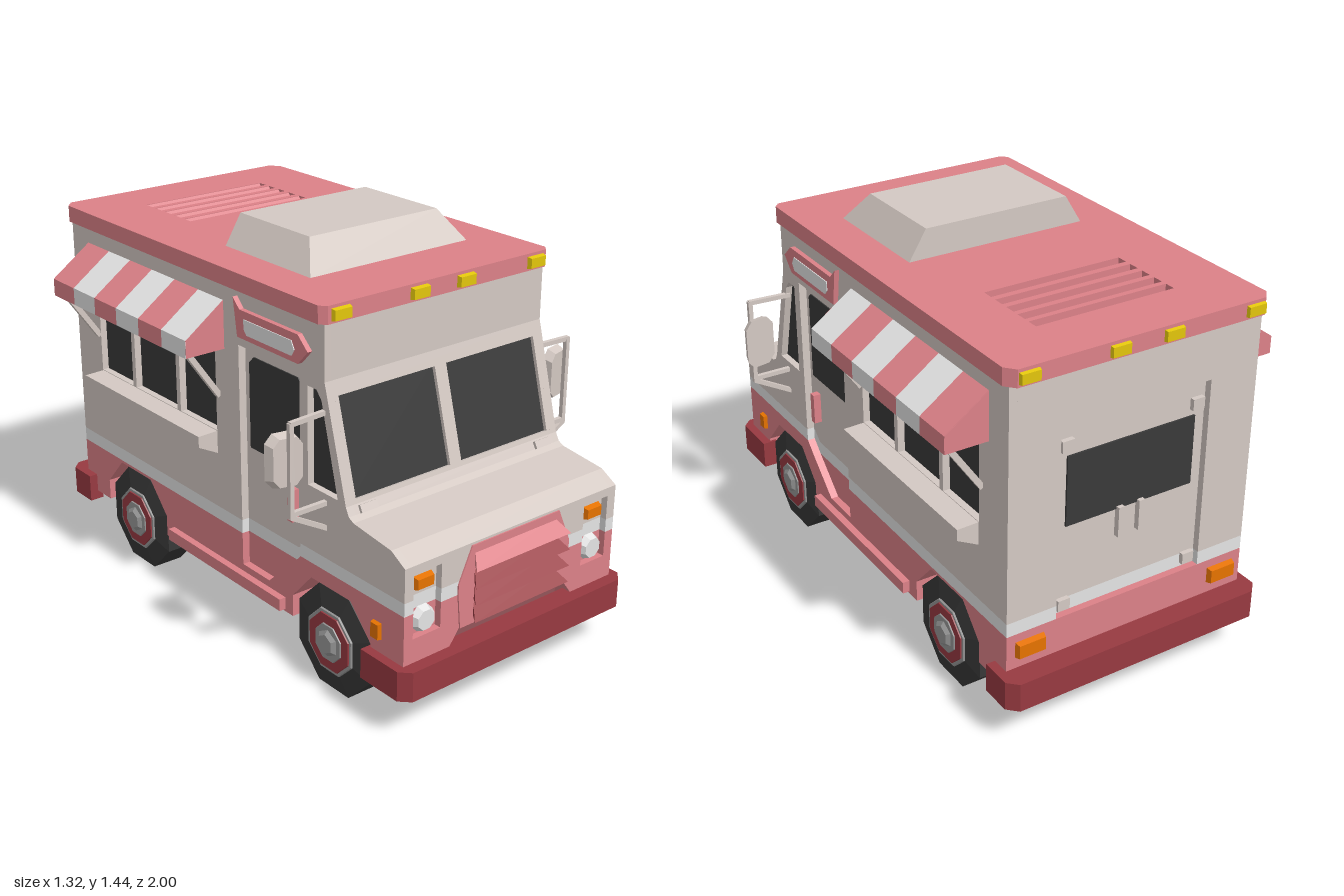
import * as THREE from 'three';

const mat = (name, color) => {
  const m = new THREE.MeshStandardMaterial({ color });
  m.name = name;
  return m;
};

export function createModel() {
  const cream = mat('cream', 0xd4c9c3), pink = mat('pink', 0xdc8188), pale = mat('pale grey', 0xe4e4e4);
  const maroon = mat('maroon', 0x983a41), glass = mat('glass', 0x3a3a3a), rubber = mat('rubber', 0x383838);
  const yellow = mat('yellow', 0xe3c60c), orange = mat('orange', 0xe67300), grey = mat('metal grey', 0x979797);

  const truck = new THREE.Group();
  truck.name = 'foodTruck';
  const add = (name, geo, material) => {
    const mesh = new THREE.Mesh(geo, material);
    mesh.name = name;
    truck.add(mesh);
    return mesh;
  };
  const box = (name, m, w, h, d, x, y, z) => {
    const mesh = add(name, new THREE.BoxGeometry(w, h, d), m);
    mesh.position.set(x, y, z);
    return mesh;
  };
  const vecs = pts => pts.map(p => new THREE.Vector2(p[0], p[1]));
  const extrude = (pts, depth, holes = []) => {
    const shape = new THREE.Shape(vecs(pts));
    shape.holes = holes.map(h => new THREE.Path(vecs(h)));
    return new THREE.ExtrudeGeometry(shape, { depth, bevelEnabled: false });
  };
  // Outline in (z, y), extruded across x from xa to xb
  const sideGeo = (pts, xa, xb, holes) =>
    extrude(pts, Math.abs(xb - xa), holes).rotateY(-Math.PI / 2).translate(Math.max(xa, xb), 0, 0);
  // Outline in (x, y), extruded along z from z0 to z1
  const frontGeo = (pts, z0, z1, holes) => extrude(pts, z1 - z0, holes).translate(0, 0, z0);
  // Outline in (x, z), extruded up from y0 to y1
  const planGeo = (pts, y0, y1, holes) => extrude(pts, y1 - y0, holes).rotateX(Math.PI / 2).translate(0, y1, 0);
  const rect = (a, b, c, d) => [[a, c], [b, c], [b, d], [a, d]];
  const flat = geo => {
    const g = geo.index ? geo.toNonIndexed() : geo;
    g.computeVertexNormals();
    return g;
  };
  // Move each vertex by a rule
  const reshape = (geo, rule) => {
    const p = geo.attributes.position, v = new THREE.Vector3();
    for (let i = 0; i < p.count; i++) {
      rule(v.fromBufferAttribute(p, i));
      p.setXYZ(i, v.x, v.y, v.z);
    }
    return flat(geo);
  };
  const bar = (name, m, a, b, t = 0.016) => {
    const A = new THREE.Vector3(...a), B = new THREE.Vector3(...b);
    const mesh = add(name, new THREE.BoxGeometry(t, t, A.distanceTo(B) + t * 0.5), m);
    mesh.position.copy(A).add(B).multiplyScalar(0.5);
    mesh.lookAt(B);
  };
  // Lamp block with a narrower face, turned to the given direction
  const light = (name, m, w, h, d, x, y, z, turn = 0) => {
    const g = reshape(new THREE.BoxGeometry(w, h, d), v => {
      if (v.z > 0) { v.x *= 1 - 0.012 / w; v.y *= 1 - 0.012 / h; }
    });
    add(name, g.rotateY(turn), m).position.set(x, y, z);
  };

  // Body core in three colour bands; the skins around it leave recessed openings
  const W = 0.472, C = W - 0.028, R = -0.895, F = 0.93;
  const arches = [[-0.92, 0.19], [-0.76, 0.19], [-0.76, 0.27], [-0.66, 0.38], [-0.46, 0.38], [-0.36, 0.27],
    [-0.36, 0.19], [0.4, 0.19], [0.4, 0.27], [0.5, 0.38], [0.7, 0.38], [0.8, 0.27], [0.8, 0.19]];
  const nose = [[0.955, 0.6], [0.89, 0.638], [0.712, 0.66], [0.69, 0.672], [0.675, 0.7]];
  add('lowerBody', sideGeo([...arches, [0.84, 0.19], [F, 0.313], [F, 0.435], [0.445, 0.435], [0.4, 0.39],
    [-0.92, 0.39]], -C, C), pink);
  add('bodyStripe', sideGeo([[F, 0.435], [F, 0.482], [0.445, 0.482], [0.4, 0.44], [R, 0.44], [R, 0.39],
    [0.4, 0.39], [0.445, 0.435]], -C, C), pale);
  add('upperBody', sideGeo([[F, 0.482], [F, 0.6], ...nose, [0.655, 0.7], [0.55, 1.085], [0.57, 1.085], [0.57, 1.28],
    [R, 1.28], [R, 0.44], [0.4, 0.44], [0.445, 0.482]], -C, C), cream);

  // Nose skin, notched round the lamp recesses
  add('noseUpper', frontGeo([[-C, 0.482], [-0.435, 0.482], [-0.435, 0.57], [-0.32, 0.57], [-0.32, 0.482],
    [0.32, 0.482], [0.32, 0.57], [0.435, 0.57], [0.435, 0.482], [C, 0.482], [C, 0.6], [-C, 0.6]], F, 0.955), cream);
  add('noseStripe', frontGeo(rect(-0.32, 0.32, 0.435, 0.482), F, 0.955), pale);
  add('noseLower', frontGeo([[-C, 0.313], [C, 0.313], [C, 0.435], [0.435, 0.435], [0.435, 0.345], [0.32, 0.345],
    [0.32, 0.435], [-0.32, 0.435], [-0.32, 0.345], [-0.435, 0.345], [-0.435, 0.435], [-C, 0.435]], F, 0.955), pink);

  // Windscreen frame set on the slope
  const frame = add('windscreenFrame', frontGeo(rect(-C, C, -0.2, 0.2), -0.02, 0,
    [rect(-0.428, -0.025, -0.184, 0.148), rect(0.025, 0.428, -0.184, 0.148)]), cream);
  frame.position.set(0, 0.8925, 0.6225);
  frame.rotation.x = -0.266;

  // Roof with chamfered corners and slotted vents holding sloping slats
  const slots = [-0.74, -0.68, -0.618, -0.555, -0.492];
  add('roof', planGeo([[-0.49, -0.91], [-0.46, -0.945], [0.46, -0.945], [0.49, -0.91], [0.49, 0.56], [0.47, 0.583],
    [-0.47, 0.583], [-0.49, 0.56]], 1.275, 1.335, slots.map(z => rect(-0.26, 0.26, z, z + 0.04))), pink);
  for (const z of slots) add('roofSlat', sideGeo([[z, 1.285], [z + 0.04, 1.285], [z, 1.333]], -0.26, 0.26), pink);
  add('roofHatch', reshape(new THREE.BoxGeometry(0.68, 0.105, 0.46), v => {
    if (v.y > 0) { v.x *= 0.81; if (v.z > 0) v.z = 0.145; }
  }), cream).position.set(0, 1.387, 0.105);
  for (const x of [-0.42, -0.1, 0.1, 0.42]) {
    light('frontRoofLight', yellow, 0.078, 0.046, 0.03, x, 1.304, 0.585);
    light('rearRoofLight', yellow, 0.078, 0.046, 0.03, x, 1.304, -0.943, Math.PI);
  }

  // Bumpers wrapping round the corners
  const bumper = (name, zIn, turn) => add(name, planGeo([[-0.505, zIn], [-0.505, 0.965], [-0.47, 1], [0.47, 1],
    [0.505, 0.965], [0.505, zIn], [0.45, zIn], [0.45, 0.92], [-0.45, 0.92], [-0.45, zIn]], 0.155, 0.26),
  maroon).rotation.y = turn;
  bumper('frontBumper', 0.79, 0);
  bumper('rearBumper', 0.855, Math.PI);

  // Grille panel and louvres
  add('grillePanel', frontGeo([[-0.238, 0.313], [0.238, 0.313], [0.25, 0.435], [0.25, 0.47], [0.195, 0.592],
    [-0.195, 0.592], [-0.25, 0.47], [-0.25, 0.435]], 0.95, 0.96), pink);
  for (let i = 0; i < 4; i++) {
    const y = 0.569 - i * 0.06;
    const g = sideGeo([[0.955, y], [1, y - 0.048], [0.955, y - 0.05]], -0.213, 0.213);
    add('grilleLouvre', reshape(g, v => { if (v.z < 0.96) v.x *= 0.84; }), i ? maroon : pink);
  }

  // Rear wall around the recessed door
  add('rearWall', frontGeo([[-C, 0.44], [-0.285, 0.44], [-0.285, 1.085], [0.285, 1.085], [0.285, 0.44], [C, 0.44],
    [C, 1.28], [-C, 1.28]], -0.92, R), cream);
  box('rearWindow', glass, 0.49, 0.25, 0.014, 0, 0.837, R);

  for (const s of [-1, 1]) {
    const plate = (name, m, pts, x0, x1, holes) => add(name, sideGeo(pts, s * x0, s * x1, holes), m);
    const mirrorX = pts => pts.map(p => [s * p[0], p[1]]);

    // Side skins, notched for the door and pierced for the windows
    const quarter = [[0.485, 0.71], [0.635, 0.71], [0.555, 1.02], [0.53, 1.05], [0.485, 1.05]];
    const serving = rect(-0.76, -0.015, 0.73, 1.045);
    plate('lowerSide', pink, [...arches, [0.955, 0.19], [0.955, 0.435], [0.445, 0.435], [0.4, 0.39], [0.27, 0.27],
      [0.12, 0.27], [0.12, 0.39], [-0.92, 0.39]], C, W);
    plate('stripeRear', pale, rect(-0.92, 0.12, 0.39, 0.44), C, W);
    plate('stripeFront', pale, rect(0.445, 0.955, 0.435, 0.482), 0.435, W);
    plate('upperSide', cream, [[0.955, 0.482], ...nose, [0.57, 1.085], [0.57, 1.28], [-0.92, 1.28], [-0.92, 0.44],
      [0.12, 0.44], [0.12, 1.08], [0.445, 1.08], [0.445, 0.482]], C, W, [quarter, serving]);
    // Nose corner beside the air intake, its inner edge leaning out
    const corner = sideGeo([[0.84, 0.19], [0.955, 0.19], [0.955, 0.313], [F, 0.313]], s * 0.26, s * C);
    add('noseCorner', reshape(corner, v => {
      if (Math.abs(v.x) < 0.3) v.x = s * (0.238 + (0.313 - v.y) * 0.74);
    }), pink);

    // Front details
    box('windscreenPane', glass, 0.415, 0.345, 0.012, s * 0.228, 0.875, 0.608).rotation.x = -0.266;
    box('wiperBase', cream, 0.07, 0.026, 0.012, s * 0.39, 0.685, 0.688).rotation.x = -0.5;
    light('indicator', orange, 0.077, 0.046, 0.022, s * 0.38, 0.524, 0.94);
    const lamp = flat(new THREE.CylinderGeometry(0.036, 0.048, 0.025, 8, 1, false, Math.PI / 8)).rotateX(Math.PI / 2);
    add('headlight', lamp, pale).position.set(s * 0.378, 0.393, 0.942);

    // Rear details
    box('rearStripe', pale, C - 0.285, 0.05, 0.025, s * (C + 0.285) / 2, 0.415, -0.9075);
    light('tailLight', orange, 0.11, 0.06, 0.025, s * 0.385, 0.33, -0.928, Math.PI);
    box('rearDoorHandle', cream, 0.022, 0.11, 0.022, s * 0.04, 0.667, -0.905);
    for (const y of [0.425, 1.005]) box('rearDoorHinge', cream, 0.045, 0.04, 0.02, s * 0.25, y, -0.902);

    // Side glass and fittings
    plate('doorWindow', glass, [[0.145, 0.715], [0.42, 0.715], [0.42, 1.03], [0.405, 1.045], [0.17, 1.045],
      [0.145, 1.02]], C - 0.01, C + 0.004);
    plate('quarterWindow', glass, quarter, C - 0.01, C + 0.003);
    plate('servingWindow', glass, serving, C - 0.01, C + 0.003);
    for (const z of [-0.246, -0.535]) box('servingPost', cream, 0.03, 0.315, 0.022, s * 0.458, 0.8875, z);
    box('doorHandle', pink, 0.03, 0.115, 0.026, s * 0.457, 0.597, 0.388);
    box('sideStep', pink, 0.032, 0.044, 0.67, s * 0.482, 0.222, 0.025);
    light('sideMarker', orange, 0.046, 0.064, 0.03, s * 0.472, 0.338, 0.832, s * Math.PI / 2);

    // Sign above the door
    plate('doorSign', pink, [[0.51, 1.17], [0.46, 1.215], [0.155, 1.215], [0.12, 1.25], [0.14, 1.118],
      [0.46, 1.118]], W - 0.01, W + 0.018);
    plate('doorSignPanel', pale, [[0.445, 1.16], [0.43, 1.188], [0.18, 1.188], [0.18, 1.155], [0.195, 1.137],
      [0.43, 1.137]], W + 0.015, W + 0.021);

    // Serving shelf
    add('servingShelf', frontGeo(mirrorX([[W, 0.728], [0.55, 0.726], [0.55, 0.686], [W, 0.645]]),
      -0.757, -0.015), cream);

    // Striped awning with end caps and braces
    const step = 0.85 / 6;
    for (let i = 0; i < 6; i++) {
      add('awningStripe', frontGeo(mirrorX([[0.47, 1.215], [0.625, 1.105], [0.625, 1.042], [0.613, 1.042],
        [0.613, 1.098], [0.47, 1.198]]), 0.038 - (i + 1) * step, 0.038 - i * step), i % 2 ? pink : pale);
    }
    for (const z of [0.034, -0.814]) {
      add('awningEnd', frontGeo(mirrorX([[0.47, 1.214], [0.624, 1.104], [0.624, 1.043], [0.47, 1.043]]),
        z, z + 0.006), pink);
    }
    for (const z of [0, -0.772]) bar('awningBrace', cream, [s * 0.475, 0.87, z], [s * 0.6, 1.05, z], 0.02);

    // Wing mirror on its tube frame
    bar('mirrorPost', cream, [s * 0.61, 0.985, 0.575], [s * 0.61, 0.67, 0.575]);
    bar('mirrorTopArm', cream, [s * 0.61, 0.985, 0.575], [s * 0.46, 0.985, 0.565]);
    bar('mirrorLowArm', cream, [s * 0.61, 0.68, 0.575], [s * 0.46, 0.68, 0.575]);
    bar('mirrorStrut', cream, [s * 0.61, 0.67, 0.575], [s * 0.46, 0.585, 0.575]);
    const mirror = frontGeo(mirrorX([[0.57, 0.755], [0.635, 0.755], [0.66, 0.785], [0.66, 0.91], [0.635, 0.94],
      [0.57, 0.94], [0.545, 0.91], [0.545, 0.785]]), 0.53, 0.565);
    add('wingMirror', reshape(mirror, v => {
      v.z -= (Math.abs(v.x) - 0.545) * 0.2;
      if (v.z > 0.54) { v.x += (s * 0.6 - v.x) * 0.15; v.y += (0.8475 - v.y) * 0.12; }
    }), cream);

    // Wheels built from stacked eight-sided discs
    for (const z of [0.6, -0.56]) {
      const disc = (name, m, rOut, rIn, x0, x1, n = 8) => {
        const g = flat(new THREE.CylinderGeometry(rOut, rIn, x1 - x0, n, 1, false, Math.PI / n)).rotateZ(-s * Math.PI / 2);
        add(name, g, m).position.set(s * (x0 + x1) / 2, 0.184, z);
      };
      disc('tyreInner', rubber, 0.198, 0.05, 0.318, 0.34);
      disc('tyre', rubber, 0.198, 0.198, 0.34, 0.458);
      disc('tyreOuter', rubber, 0.12, 0.198, 0.458, 0.472);
      disc('wheelRim', grey, 0.118, 0.126, 0.465, 0.477);
      disc('wheelRing', maroon, 0.106, 0.11, 0.472, 0.481);
      disc('wheelDisc', grey, 0.068, 0.074, 0.475, 0.485);
      disc('wheelHub', grey, 0.035, 0.056, 0.48, 0.497, 6);
    }
  }
  return truck;
}
